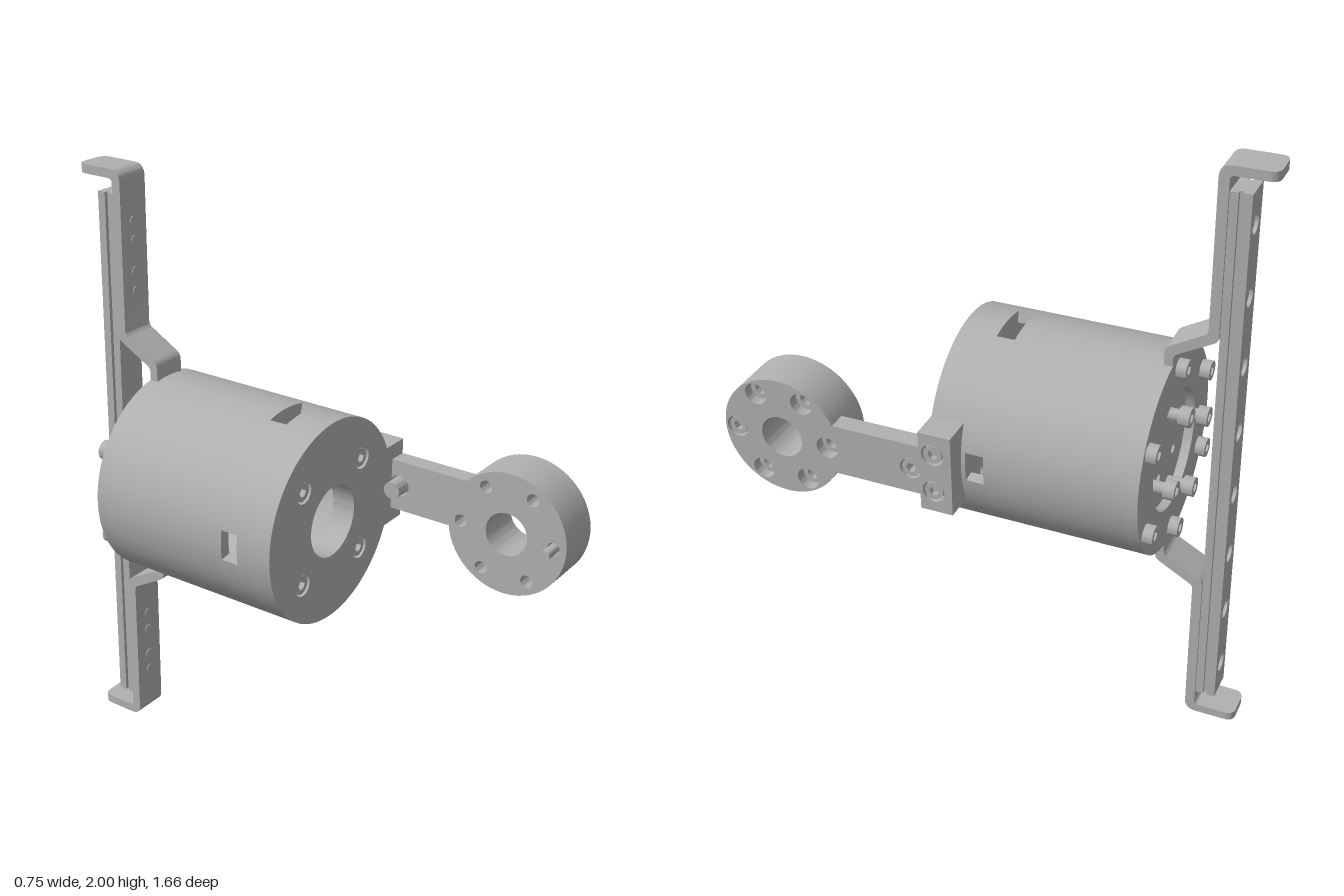
import * as THREE from 'three';
import { toCreasedNormals } from 'three/addons/utils/BufferGeometryUtils.js';

const metal = new THREE.MeshStandardMaterial({ color: 0xb0b0b0 });
metal.name = 'grey metal';

const R = 0.338;

function add(parent, name, geometry, x = 0, y = 0, z = 0) {
  const mesh = new THREE.Mesh(geometry, metal);
  mesh.name = name;
  mesh.position.set(x, y, z);
  parent.add(mesh);
  return mesh;
}

// Extrude a shape from z0 to z1, smooth on curves and sharp on edges
function slab(shape, z0, z1, segs = 32) {
  const g = new THREE.ExtrudeGeometry(shape, { depth: z1 - z0, bevelEnabled: false, curveSegments: segs });
  g.translate(0, 0, z0);
  return toCreasedNormals(g, 0.5);
}

function circle(x, y, r, Type = THREE.Path) {
  const p = new Type();
  p.absarc(x, y, r, 0, Math.PI * 2, false);
  return p;
}

function disc(r, holes = []) {
  const s = circle(0, 0, r, THREE.Shape);
  holes.forEach(([x, y, hr]) => s.holes.push(circle(x, y, hr)));
  return s;
}

function rect(x0, y0, x1, y1, holes = []) {
  const s = new THREE.Shape([[x0, y0], [x1, y0], [x1, y1], [x0, y1]].map(p => new THREE.Vector2(...p)));
  holes.forEach(([x, y, hr]) => s.holes.push(circle(x, y, hr)));
  return s;
}

// Ring sector between two angles
function sector(rIn, rOut, a0, a1) {
  const s = new THREE.Shape();
  s.absarc(0, 0, rOut, a0, a1, false);
  s.absarc(0, 0, rIn, a1, a0, true);
  return s;
}

// Hex socket screw whose head points along +z, top of head at z = 0
function screw(parent, name, x, y, z, r, h, back = false, neck = 0) {
  const g = new THREE.Group();
  g.name = name;
  const head = disc(r);
  head.holes.push(new THREE.Path(Array.from({ length: 6 }, (_, i) =>
    new THREE.Vector2(r * 0.55 * Math.cos(i * Math.PI / 3), r * 0.55 * Math.sin(i * Math.PI / 3)))));
  add(g, 'screwHead', slab(head, -h * 0.6, 0, 12));
  add(g, 'screwBase', slab(disc(r), -h, -h * 0.6, 12));
  if (neck) add(g, 'screwNeck', slab(disc(r * 0.6), -h - neck, -h, 12));
  g.position.set(x, y, z);
  if (back) g.rotation.y = Math.PI;
  parent.add(g);
}

function buildBody() {
  const body = new THREE.Group();
  body.name = 'body';
  const corners = [[1, 1], [-1, 1], [-1, -1], [1, -1]].map(([x, y]) => [x * 0.16, y * 0.16]);

  // Front cap with centre bore and counterbored screws
  add(body, 'frontCap', slab(disc(R, [[0, 0, 0.12], ...corners.map(c => [...c, 0.037])]), 0.06, 0.14, 48));
  corners.forEach(([x, y]) => screw(body, 'frontScrew', x, y, 0.135, 0.031, 0.07));

  // Shell with slots at the top, bottom and sides
  add(body, 'frontShell', slab(disc(R, [[0, 0, 0.3]]), 0.018, 0.06, 48));
  for (let i = 0; i < 4; i++) {
    const a = i * Math.PI / 2;
    const gap = [0.15, 0.255];
    add(body, 'slotWall', slab(sector(0.3, R, a + gap[i % 2], a + Math.PI / 2 - gap[(i + 1) % 2]), -0.042, 0.018, 16));
  }
  add(body, 'rearShell', slab(disc(R, [[0, 0, 0.3]]), -0.5, -0.042, 48));

  // Rear ring around a recessed plate
  add(body, 'rearRing', slab(disc(R, [[0, 0, 0.2]]), -0.54, -0.5, 48));
  const floorHoles = [0, 1, 2, 3].map(i => [0.1 * Math.cos(i * 1.571 + 0.6), 0.1 * Math.sin(i * 1.571 + 0.6), 0.017]);
  add(body, 'rearPlate', slab(disc(0.3, floorHoles), -0.51, -0.47));
  for (let i = 0; i < 6; i++) {
    const a = Math.PI / 6 + i * Math.PI / 3;
    screw(body, 'rimScrew', 0.295 * Math.cos(a), 0.295 * Math.sin(a), -0.573, 0.032, 0.034, true);
  }
  [[-0.155, 0.04], [0.04, 0.155], [0.155, -0.04], [-0.04, -0.155]].forEach(([x, y]) =>
    screw(body, 'rearScrew', x, y, -0.602, 0.032, 0.036, true, 0.06));
  return body;
}

// Bent strap with a hooked end; sign +1 is the upper one, -1 the lower one
function buildStrap(sign) {
  const strap = new THREE.Group();
  strap.name = sign > 0 ? 'upperStrap' : 'lowerStrap';
  const s = new THREE.Shape();     // x is depth to the rear, y is height
  const at = (f, ...p) => s[f](...p.map((v, i) => (i % 2 ? v * sign : v)));
  at('moveTo', 0.512, 0.31);
  at('lineTo', 0.512, 0.375);
  at('quadraticCurveTo', 0.512, 0.392, 0.528, 0.402);
  at('lineTo', 0.63, 0.46);
  at('quadraticCurveTo', 0.642, 0.467, 0.642, 0.48);
  at('lineTo', 0.642, 0.96);
  at('quadraticCurveTo', 0.642, 1, 0.682, 1);
  at('lineTo', 0.77, 1);
  at('lineTo', 0.77, 0.97);
  at('lineTo', 0.688, 0.97);
  at('quadraticCurveTo', 0.674, 0.97, 0.674, 0.956);
  at('lineTo', 0.674, 0.46);
  at('quadraticCurveTo', 0.674, 0.447, 0.66, 0.438);
  at('lineTo', 0.555, 0.38);
  at('quadraticCurveTo', 0.54, 0.372, 0.54, 0.358);
  at('lineTo', 0.54, 0.31);
  add(strap, 'strapBar', slab(s, -0.06, 0.06, 8)).rotation.y = Math.PI / 2;

  // Rounded hook tip
  const tip = new THREE.Shape();
  tip.moveTo(-0.06, 0.77);
  tip.lineTo(0.06, 0.77);
  tip.lineTo(0.06, 0.78);
  tip.quadraticCurveTo(0.06, 0.812, 0.028, 0.812);
  tip.lineTo(-0.028, 0.812);
  tip.quadraticCurveTo(-0.06, 0.812, -0.06, 0.78);
  const tipMesh = add(strap, 'hookTip', slab(tip, -0.015, 0.015, 8), 0, sign * 0.985, 0);
  tipMesh.rotation.x = -Math.PI / 2;

  // Small pins showing on the front
  for (const y of [0.597, 0.664, 0.766, 0.83]) {
    add(strap, 'strapPin', slab(disc(0.016), -0.65, -0.639, 10), 0, sign * y, 0);
  }
  return strap;
}

function buildRail() {
  const rail = new THREE.Group();
  rail.name = 'rail';
  const spots = Array.from({ length: 8 }, (_, i) => -0.81 + i * 1.62 / 7);
  add(rail, 'railBase', slab(rect(-0.052, -0.92, 0.052, 0.92), -0.7, -0.674));
  add(rail, 'railWeb', slab(rect(-0.04, -0.92, 0.04, 0.92), -0.714, -0.7));
  add(rail, 'railCap', slab(rect(-0.052, -0.92, 0.052, 0.92, spots.map(y => [0, y, 0.03])), -0.74, -0.712, 16));
  spots.forEach(y => screw(rail, 'railScrew', 0, y, -0.73, 0.025, 0.018, true));
  return rail;
}

// Side arm drawn in its own plane: x runs to the rear, z points outward
function buildArm() {
  const arm = new THREE.Group();
  arm.name = 'sideArm';
  const cx = -0.623, inner = 0.243, outer = 0.407;

  // Round head with six counterbored holes
  const spots = Array.from({ length: 6 }, (_, i) => [0.162 * Math.cos(i * Math.PI / 3), 0.162 * Math.sin(i * Math.PI / 3)]);
  const head = r => disc(0.206, [[0, 0, 0.072], ...spots.map(p => [...p, r])]);
  add(arm, 'headBack', slab(head(0.021), inner, outer - 0.035), cx);
  add(arm, 'headFront', slab(head(0.037), outer - 0.035, outer), cx);
  screw(arm, 'headScrew', cx - 0.162, 0, outer - 0.005, 0.032, 0.035);
  add(arm, 'headPin', slab(disc(0.016), 0.186, outer - 0.04, 16), cx - 0.162);

  // Arm plate, hollowed at one end to meet the round head
  const a = Math.asin(0.0875 / 0.203);
  const holes = [[-0.17, 0], [-0.095, 0.067], [-0.095, -0.067]];
  const plate = new THREE.Shape();
  plate.moveTo(-0.13, -0.0875);
  plate.lineTo(-0.13, 0.0875);
  plate.absarc(cx, 0, 0.203, a, -a, true);
  plate.holes.push(circle(...holes[0], 0.036));
  add(arm, 'armPlate', slab(plate, 0.344, outer));
  screw(arm, 'armScrew', ...holes[0], outer - 0.005, 0.031, 0.06);
  add(arm, 'armNut', slab(disc(0.03), 0.296, 0.36, 6), ...holes[0]);

  // Clamp block seated on the body
  add(arm, 'clampBlock', slab(rect(-0.14, -0.14, -0.032, 0.14), 0.306, 0.375));
  add(arm, 'clampFace', slab(rect(-0.14, -0.14, -0.032, 0.14, holes.slice(1).map(p => [...p, 0.037])), 0.375, outer));
  holes.slice(1).forEach(([x, y]) => screw(arm, 'clampScrew', x, y, outer - 0.005, 0.031, 0.03));
  arm.rotation.y = Math.PI / 2;
  return arm;
}

export function createModel() {
  const model = new THREE.Group();
  model.name = 'model';
  const assembly = new THREE.Group();
  assembly.name = 'assembly';
  assembly.add(buildBody(), buildStrap(1), buildStrap(-1), buildRail(), buildArm());
  // The whole unit leans slightly
  assembly.position.set(-0.036, 0.99, 0);
  assembly.rotation.x = 0.015;
  model.add(assembly);
  return model;
}
